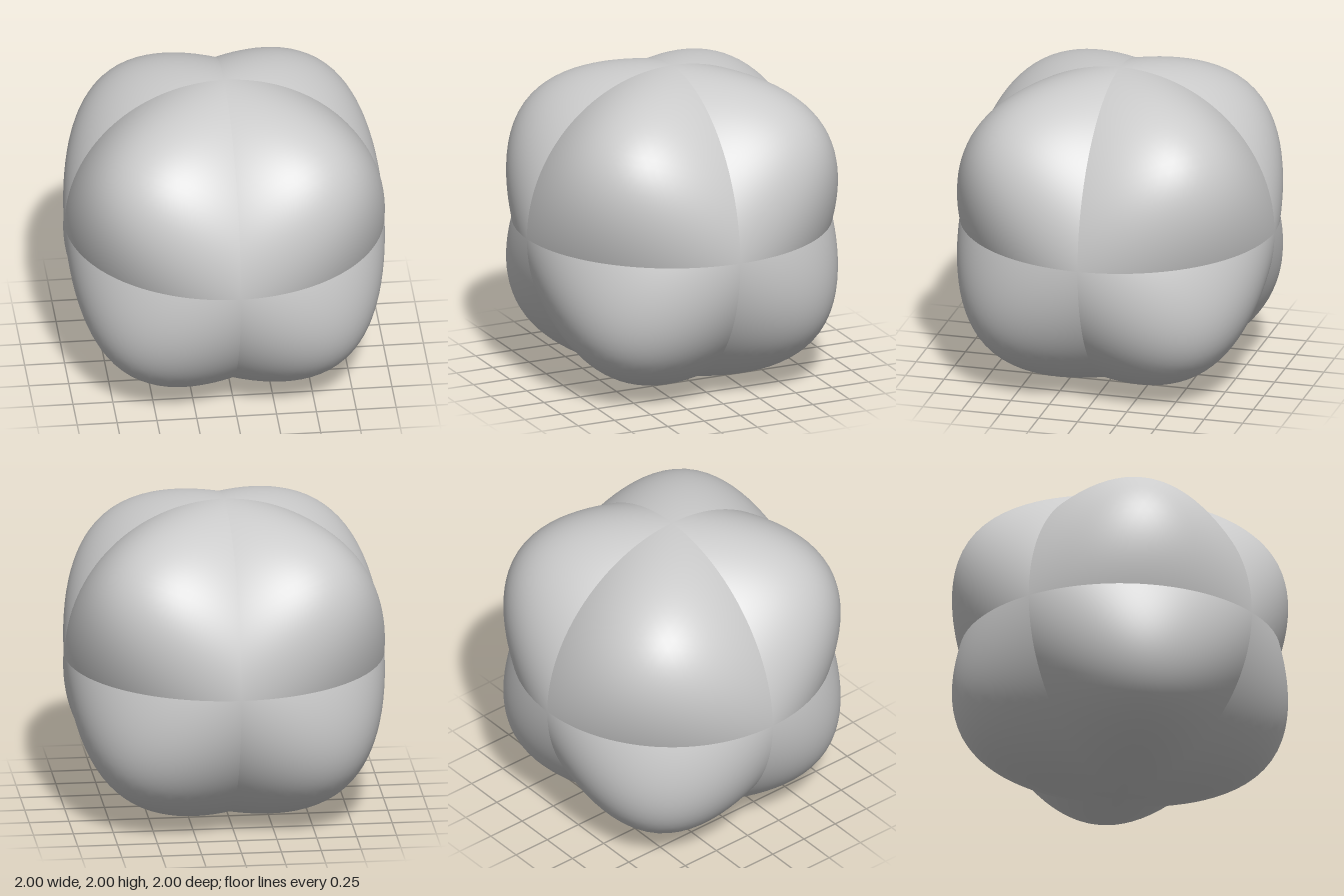
import * as THREE from 'three';

const BULGE = 1.2; // surface rule: x² + y² + z² = 1 + BULGE * |xyz|
const STEPS = 40;

// Push a unit direction of the positive octant out to the lobe surface
function toSurface(dir) {
  const p = BULGE * dir.x * dir.y * dir.z;
  let r = 1;
  for (let i = 0; i < 40; i++) r = Math.sqrt(1 + p * r * r * r);
  return dir.multiplyScalar(r);
}

// One lobe fills one octant; smooth inside, creased where it meets its neighbours
function lobeGeometry(sx, sy, sz) {
  const positions = [], normals = [], index = [];
  const rowStart = (i) => (i * (i + 1)) / 2;
  const flip = sx * sy * sz < 0;
  const addFace = (a, b, c) => index.push(a, flip ? c : b, flip ? b : c);

  for (let i = 0; i <= STEPS; i++) {
    for (let j = 0; j <= i; j++) {
      const v = toSurface(new THREE.Vector3(j, STEPS - i, i - j).normalize());
      const n = new THREE.Vector3(
        2 * v.x - BULGE * v.y * v.z,
        2 * v.y - BULGE * v.x * v.z,
        2 * v.z - BULGE * v.x * v.y,
      ).normalize();
      positions.push(sx * v.x, sy * v.y, sz * v.z);
      normals.push(sx * n.x, sy * n.y, sz * n.z);
      if (i < STEPS && j <= i) {
        const a = rowStart(i) + j, below = rowStart(i + 1) + j;
        addFace(a, below, below + 1);
        if (j < i) addFace(a, below + 1, a + 1);
      }
    }
  }

  const geometry = new THREE.BufferGeometry();
  geometry.setAttribute('position', new THREE.Float32BufferAttribute(positions, 3));
  geometry.setAttribute('normal', new THREE.Float32BufferAttribute(normals, 3));
  geometry.setIndex(index);
  return geometry;
}

export function createModel() {
  const model = new THREE.Group();
  model.name = 'eightLobedBall';
  const material = new THREE.MeshStandardMaterial({ color: 0xcccccc });

  // Eight mirrored lobes, one per octant
  for (const sy of [1, -1]) {
    for (const sz of [1, -1]) {
      for (const sx of [1, -1]) {
        const lobe = new THREE.Mesh(lobeGeometry(sx, sy, sz), material);
        lobe.name = `${sy > 0 ? 'upper' : 'lower'}${sz > 0 ? 'Front' : 'Back'}${sx > 0 ? 'Left' : 'Right'}Lobe`;
        lobe.position.y = 1;
        model.add(lobe);
      }
    }
  }
  return model;
}
